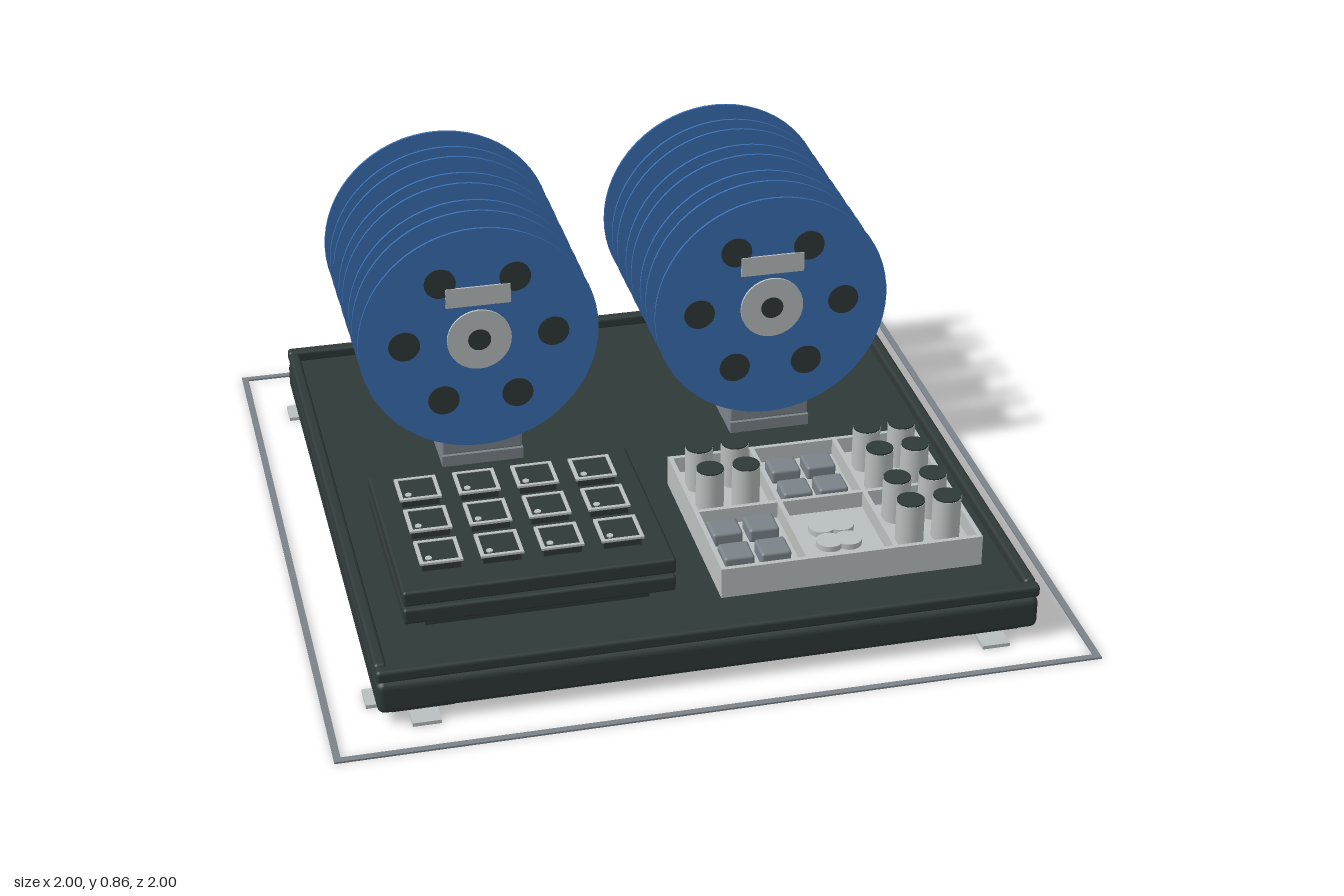
import * as THREE from 'three';
import { RoundedBoxGeometry } from 'three/addons/geometries/RoundedBoxGeometry.js';

const material = (name, color) => {
  const m = new THREE.MeshStandardMaterial({ color });
  m.name = name;
  return m;
};

export function createModel() {
  const dark = material('charcoal', 0x2f3938);
  const blue = material('blue', 0x3a6fb3);
  const light = material('light grey', 0xbac0bf);
  const mid = material('mid grey', 0x7b838a);

  const model = new THREE.Group();
  model.name = 'spoolStation';

  const group = (name, parent = model) => {
    const g = new THREE.Group();
    g.name = name;
    parent.add(g);
    return g;
  };
  const add = (parent, name, geometry, mat, x = 0, y = 0, z = 0) => {
    const mesh = new THREE.Mesh(geometry, mat);
    mesh.name = name;
    mesh.position.set(x, y, z);
    parent.add(mesh);
    return mesh;
  };
  // Box given by its minimum and maximum along each axis; r rounds the edges
  const box = (parent, name, mat, [x0, x1], [y0, y1], [z0, z1], r = 0) => {
    const size = [x1 - x0, y1 - y0, z1 - z0];
    const geometry = r ? new RoundedBoxGeometry(...size, 2, r) : new THREE.BoxGeometry(...size);
    return add(parent, name, geometry, mat, (x0 + x1) / 2, (y0 + y1) / 2, (z0 + z1) / 2);
  };
  // Cylinder whose axis runs along z
  const drum = (parent, name, mat, radius, depth, x, y, z, sides = 32) =>
    add(parent, name, new THREE.CylinderGeometry(radius, radius, depth, sides).rotateX(Math.PI / 2), mat, x, y, z);
  // Flat square frame lying on the ground plane
  const squareFrame = (outer, width, height) => {
    const square = (Type, h) => new Type([[-h, -h], [h, -h], [h, h], [-h, h]].map(p => new THREE.Vector2(...p)));
    const shape = square(THREE.Shape, outer);
    shape.holes.push(square(THREE.Path, outer - width));
    return new THREE.ExtrudeGeometry(shape, { depth: height, bevelEnabled: false }).rotateX(-Math.PI / 2);
  };

  // Outline on the ground
  add(model, 'groundOutline', squareFrame(1, 0.018, 0.005), mid);

  // Base slab with a raised rim
  const base = group('base');
  box(base, 'baseSlab', dark, [-0.87, 0.87], [0.03, 0.123], [-0.87, 0.87], 0.02);
  box(base, 'deck', dark, [-0.85, 0.85], [0.11, 0.13], [-0.85, 0.85]);
  for (const s of [-1, 1]) {
    const span = edge => (s < 0 ? [-0.87, -edge] : [edge, 0.87]);
    box(base, 'endRim', dark, [-0.87, 0.87], [0.125, 0.16], span(0.835), 0.01);
    box(base, 'sideRim', dark, span(0.838), [0.125, 0.16], [-0.835, 0.835], 0.01);
  }

  // Corner feet on cross-shaped plates
  for (const x of [-0.75, 0.75]) for (const z of [-0.75, 0.75]) {
    const foot = group('foot');
    foot.position.set(x, 0, z);
    box(foot, 'footPad', dark, [-0.08, 0.08], [0.01, 0.032], [-0.08, 0.08]);
    box(foot, 'footPlateAcross', light, [-0.14, 0.14], [0, 0.01], [-0.037, 0.037]);
    for (const s of [-1, 1])
      add(foot, 'footPlateArm', new THREE.BoxGeometry(0.074, 0.01, 0.103), light, 0, 0.005, s * 0.0885);
  }

  // Two rows of four spools on saddles
  const spoolY = 0.52;
  for (const x of [-0.415, 0.415]) {
    const row = group('spoolRow');
    row.position.x = x;
    box(row, 'rail', mid, [-0.115, 0.115], [0.13, 0.163], [-0.868, -0.13]);
    for (let i = 0; i < 4; i++) {
      const spool = group('spool', row);
      spool.position.z = -0.195 - i * 0.179;
      box(spool, 'saddle', mid, [-0.115, 0.115], [0.16, 0.208], [-0.056, 0.056], 0.008);
      drum(spool, 'woundCore', dark, 0.26, 0.104, 0, spoolY, 0, 64);
      for (const s of [-1, 1]) {
        drum(spool, 'flange', blue, 0.335, 0.007, 0, spoolY, s * 0.055, 64);
        drum(spool, 'hub', light, 0.09, 0.008, 0, spoolY, s * 0.061);
        drum(spool, 'hubBore', dark, 0.032, 0.004, 0, spoolY, s * 0.0645, 24);
      }
      // Window discs and label on the front flange
      for (let k = 0; k < 6; k++) {
        const a = k * Math.PI / 3;
        drum(spool, 'flangeWindow', dark, 0.044, 0.004, 0.208 * Math.cos(a), spoolY + 0.208 * Math.sin(a), 0.059, 24);
      }
      box(spool, 'label', light, [-0.09, 0.09], [0.625, 0.682], [0.057, 0.064]);
    }
  }

  // Keypad: two stacked slabs with a grid of framed keys
  const keypad = group('keypad');
  box(keypad, 'keypadSpacer', dark, [-0.71, -0.12], [0.13, 0.23], [0.15, 0.64]);
  box(keypad, 'lowerSlab', dark, [-0.77, -0.06], [0.17, 0.215], [0.1, 0.69], 0.008);
  box(keypad, 'upperSlab', dark, [-0.77, -0.06], [0.223, 0.267], [0.1, 0.69], 0.008);
  const keyFrame = squareFrame(0.056, 0.01, 0.006);
  for (let col = 0; col < 4; col++) for (let line = 0; line < 3; line++) {
    const key = group('key', keypad);
    key.position.set(-0.655 + col * 0.158, 0.267, 0.232 + line * 0.159);
    box(key, 'keyCap', dark, [-0.05, 0.05], [0, 0.025], [-0.05, 0.05]);
    add(key, 'keyFrame', keyFrame, light, 0, 0.021, 0);
    add(key, 'keyDot', new THREE.CylinderGeometry(0.009, 0.009, 0.004, 12), light, -0.03, 0.026, 0.031);
  }

  // Sorting tray: floor, walls and two rows of three compartments
  const tray = group('tray');
  box(tray, 'trayFloor', light, [0.06, 0.77], [0.13, 0.17], [0.1, 0.69]);
  for (const x of [0.06, 0.29, 0.527, 0.757])
    box(tray, 'trayWall', light, [x, x + 0.013], [0.17, 0.217], [0.1, 0.69]);
  for (const z of [0.1, 0.388, 0.677])
    box(tray, 'trayCrossWall', light, [0.061, 0.769], [0.17, 0.2165], [z, z + 0.013]);

  // Fill a compartment with a two by two set of parts
  const four = (cx, cz, dx, dz, place) => {
    for (const sx of [-1, 1]) for (const sz of [-1, 1]) place(cx + sx * dx, cz + sz * dz);
  };
  const bottle = (x, z) => {
    add(tray, 'bottle', new THREE.CylinderGeometry(0.038, 0.038, 0.124, 24), light, x, 0.23, z);
    add(tray, 'bottleCap', new THREE.CylinderGeometry(0.037, 0.037, 0.004, 24), dark, x, 0.294, z);
  };
  const block = (x, z) =>
    box(tray, 'block', mid, [x - 0.041, x + 0.041], [0.168, 0.208], [z - 0.04, z + 0.04], 0.008);
  const washer = (x, z) =>
    add(tray, 'washer', new THREE.CylinderGeometry(0.036, 0.036, 0.016, 24), light, x, 0.178, z);

  four(0.175, 0.253, 0.05, 0.06, bottle);
  four(0.65, 0.253, 0.05, 0.06, bottle);
  four(0.65, 0.53, 0.05, 0.06, bottle);
  four(0.413, 0.253, 0.05, 0.06, block);
  four(0.175, 0.53, 0.05, 0.06, block);
  four(0.413, 0.53, 0.026, 0.037, washer);

  return model;
}
